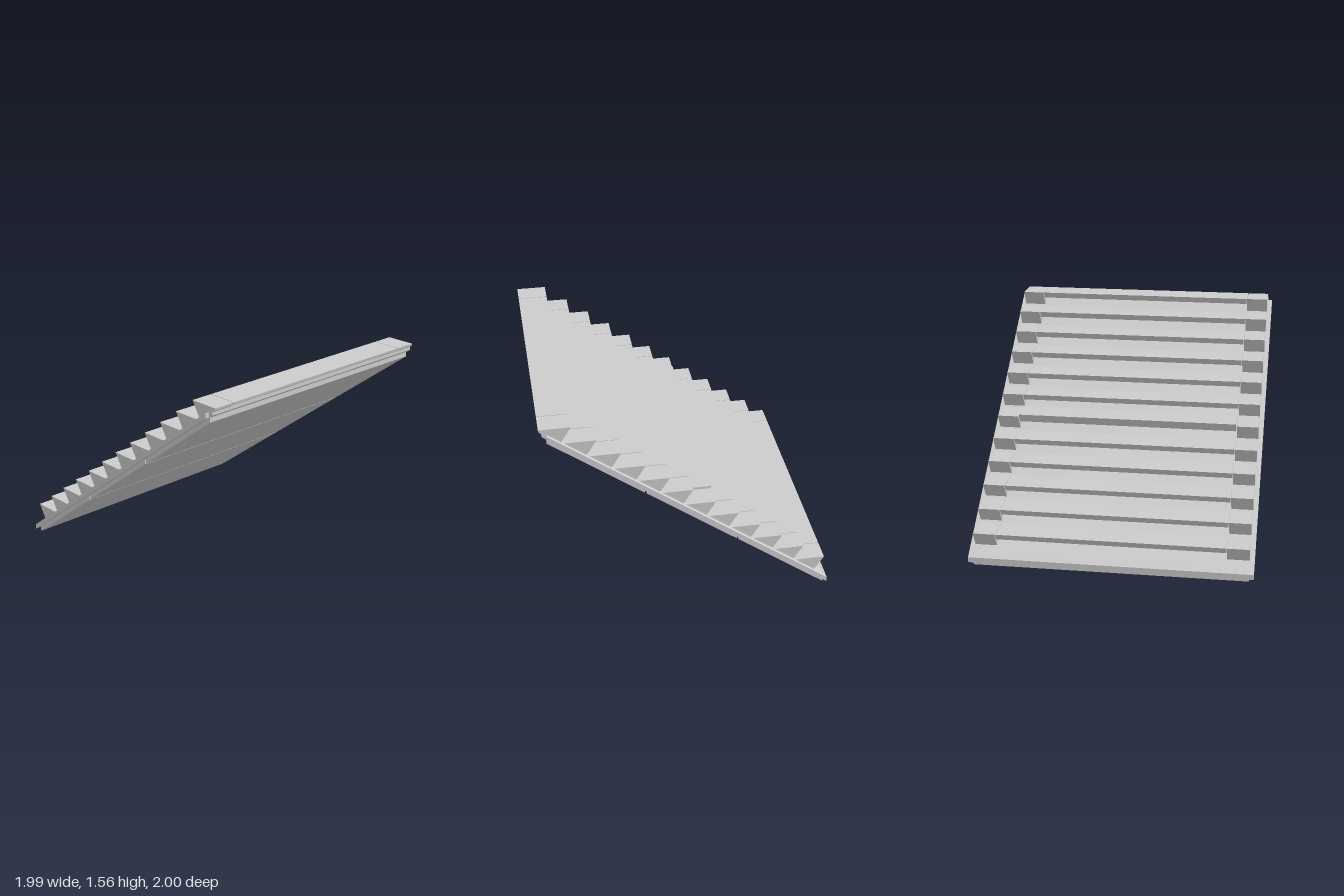
import * as THREE from 'three';

const material = new THREE.MeshStandardMaterial({ color: 0xcccccc, flatShading: true });
const SLOPE = 0.751;
// Height of the sloping underside at depth z
const underside = (z) => 0.002 + SLOPE * (z + 0.98);

// Extrudes a [z, y] profile across the width from x0 to x1
function across(name, profile, x0, x1) {
  const shape = new THREE.Shape(profile.map(([z, y]) => new THREE.Vector2(z, y)));
  const geometry = new THREE.ExtrudeGeometry(shape, { depth: x1 - x0, bevelEnabled: false });
  geometry.rotateY(-Math.PI / 2);
  geometry.translate(x1, 0, 0);
  const mesh = new THREE.Mesh(geometry, material);
  mesh.name = name;
  return mesh;
}

// Sloping slab between two depths, raised above the underside by low..high
function slab(name, z0, z1, low, high, x0, x1) {
  return across(name, [
    [z0, underside(z0) + low], [z1, underside(z1) + low],
    [z1, underside(z1) + high], [z0, underside(z0) + high],
  ], x0, x1);
}

export function createModel() {
  const model = new THREE.Group();
  model.name = 'staircase';

  // Underside: three panels with narrow seams
  const cuts = [-0.98, -0.333, 0.311, 0.95];
  for (let i = 0; i < 3; i++) {
    model.add(slab('undersidePanel', cuts[i] + (i ? 0.006 : 0), cuts[i + 1] - (i < 2 ? 0.006 : 0),
      0, 0.036, -0.963, 0.963));
  }

  // Deck carrying the steps, side rails and lower end lip
  model.add(slab('deck', -0.98, 0.98, 0.034, 0.07, -0.966, 0.966));
  for (const [x0, x1] of [[-0.996, -0.966], [0.966, 0.996]]) {
    model.add(slab('sideRail', -1, 0.945, 0.038, 0.075, x0, x1));
  }
  model.add(slab('endLip', -1, -0.98, 0.038, 0.075, -0.966, 0.966));

  // Steps: solid wedge at each end, undercut tread between them
  for (let i = 0; i < 12; i++) {
    const step = new THREE.Group();
    step.name = 'step';
    const z = 0.79 - 0.1605 * i;
    const y = 1.56 - 0.1205 * i;
    const place = (points) => points.map(([dz, dy]) => [z + dz, y + dy]);
    const wedge = place([[0, 0], [0.072, -0.118], [0.205, -0.018], [0.21, 0]]);
    step.add(across('endBlock', wedge, -0.963, -0.808));
    step.add(across('endBlock', wedge, 0.808, 0.963));
    const lift = i === 6 ? 0.015 : 0;
    const tread = place([[0, lift], [0.026, -0.045], [0.15, -0.052], [0.205, -0.018], [0.21, lift]]);
    step.add(across('tread', tread, -0.803, 0.803));
    model.add(step);
  }
  return model;
}
